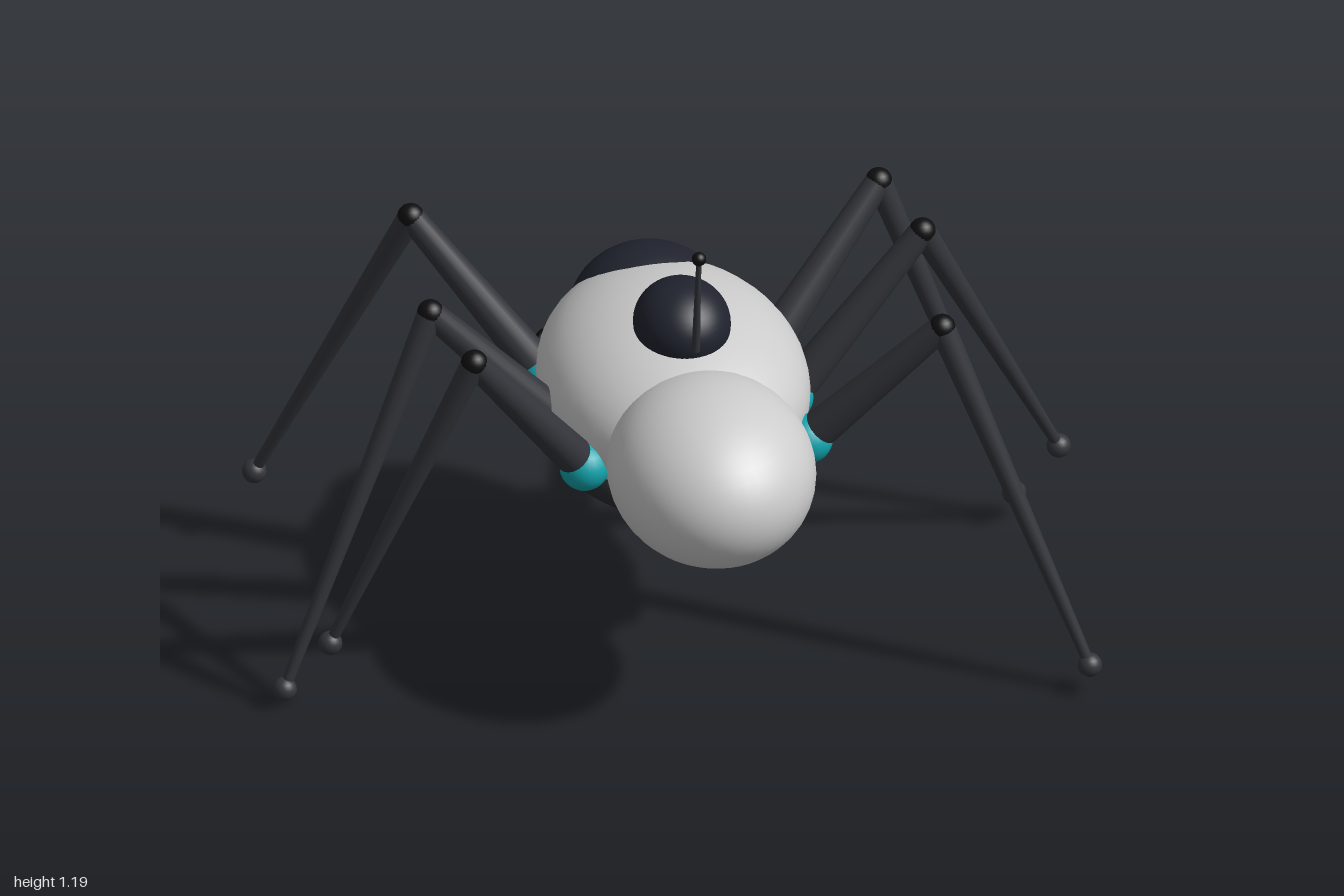
import * as THREE from 'three';

const mat = (color) => new THREE.MeshStandardMaterial({ color });
const V = (x, y, z) => new THREE.Vector3(x, y, z);

export function createModel() {
  const model = new THREE.Group();
  model.name = 'sixLeggedRobot';

  const shell = mat(0xe2e2e4);
  const navy = mat(0x20232e);
  const bellyMat = mat(0x2b2c30);
  const limb = mat(0x34353b);
  const black = mat(0x0e0e10);
  const teal = mat(0x12a5ae);

  const add = (parent, name, geometry, material) => {
    const mesh = new THREE.Mesh(geometry, material);
    mesh.name = name;
    parent.add(mesh);
    return mesh;
  };

  // Sphere stretched to three radii
  const ellipsoid = (parent, name, c, r, material, seg = 48) => {
    const mesh = add(parent, name, new THREE.SphereGeometry(1, seg, seg / 2), material);
    mesh.position.copy(c);
    mesh.scale.copy(r);
    return mesh;
  };
  const ball = (parent, name, c, r, material) =>
    ellipsoid(parent, name, c, V(r, r, r), material, 24);

  // Tapered rod from point a (radius ra) to point b (radius rb)
  const rod = (parent, name, a, b, ra, rb, material) => {
    const dir = b.clone().sub(a);
    const mesh = add(parent, name, new THREE.CylinderGeometry(rb, ra, dir.length(), 20), material);
    mesh.position.copy(a).add(b).multiplyScalar(0.5);
    mesh.quaternion.setFromUnitVectors(V(0, 1, 0), dir.normalize());
    return mesh;
  };

  // Body shells
  ellipsoid(model, 'body', V(0, 0.67, -0.055), V(0.318, 0.222, 0.42), shell);
  ellipsoid(model, 'frontShell', V(0, 0.666, 0.346), V(0.245, 0.211, 0.291), shell);
  ellipsoid(model, 'belly', V(0, 0.535, -0.065), V(0.306, 0.126, 0.375), bellyMat);
  ellipsoid(model, 'rearDome', V(0, 0.692, -0.312), V(0.193, 0.176, 0.191), navy);
  ellipsoid(model, 'topDome', V(0, 0.885, 0.036), V(0.115, 0.105, 0.128), navy);

  // Antenna
  rod(model, 'antenna', V(0, 0.895, 0.181), V(0, 1.17, 0.215), 0.01, 0.006, limb);
  ball(model, 'antennaTip', V(0, 1.17, 0.215), 0.017, black);

  // Rear probe under the dome
  rod(model, 'rearProbe', V(0, 0.53, -0.36), V(0, 0.42, -0.5), 0.02, 0.017, limb);
  ball(model, 'rearProbeTip', V(0, 0.418, -0.505), 0.024, black);

  // Side sensors
  for (const s of [1, -1]) {
    rod(model, 'sideSensor', V(s * 0.215, 0.64, -0.26), V(s * 0.238, 0.642, -0.328), 0.038, 0.038, limb);
    ball(model, 'sideSensorLens', V(s * 0.24, 0.642, -0.335), 0.03, black);
  }

  // Legs: side, hip z, hip y, knee x, knee y, knee z, foot; alternate legs are raised
  const legs = [
    ['frontLeftLeg', 1, 0.185, 0.615, 0.566, 0.96, 0.312, V(0.884, 0.08, 0.482)],
    ['middleLeftLeg', 1, -0.02, 0.605, 0.595, 1.02, -0.022, V(0.968, 0.255, -0.21)],
    ['rearLeftLeg', 1, -0.225, 0.615, 0.566, 0.96, -0.355, V(0.884, 0.073, -0.314)],
    ['frontRightLeg', -1, 0.185, 0.615, 0.566, 1.02, 0.312, V(-0.886, 0.21, 0.188)],
    ['middleRightLeg', -1, -0.02, 0.605, 0.595, 0.96, -0.022, V(-0.972, 0.03, 0.083)],
    ['rearRightLeg', -1, -0.225, 0.615, 0.566, 1.02, -0.355, V(-0.886, 0.2, -0.61)],
  ];
  for (const [name, s, hz, hy, kx, ky, kz, foot] of legs) {
    const leg = new THREE.Group();
    leg.name = name;
    model.add(leg);
    const hip = V(s * 0.27, hy, hz);
    const knee = V(s * kx, ky, kz);
    ball(leg, 'hip', hip, 0.06, teal);
    rod(leg, 'upperLeg', hip.clone().lerp(knee, 0.1), knee, 0.046, 0.031, limb);
    ball(leg, 'knee', knee, 0.032, black);
    rod(leg, 'lowerLeg', knee, foot, 0.031, 0.013, limb);
    ball(leg, 'foot', foot, 0.029, limb);
  }

  return model;
}
